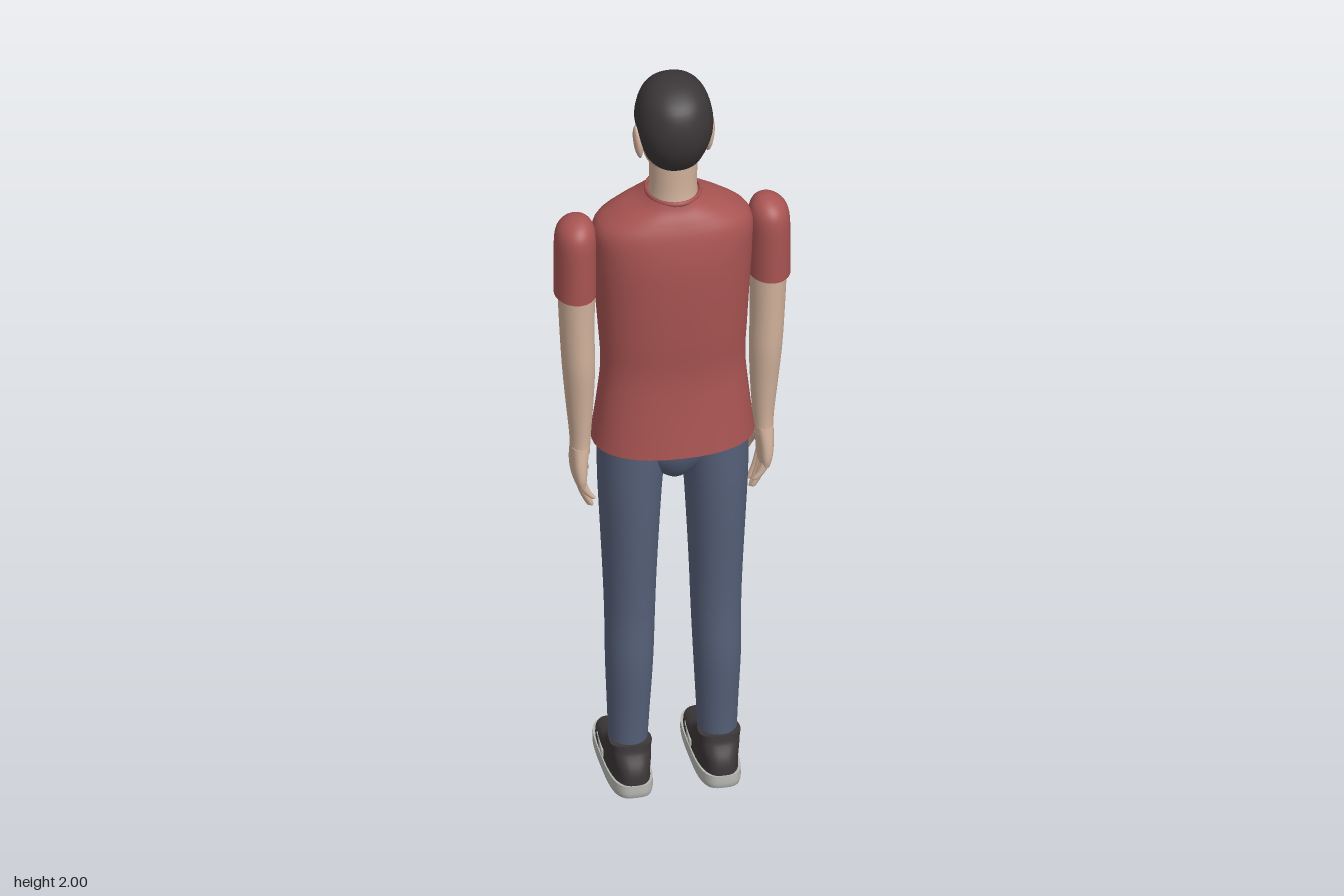
import * as THREE from 'three';

const mat = (name, color, side = THREE.FrontSide) => {
  const m = new THREE.MeshStandardMaterial({ color, side });
  m.name = name;
  return m;
};

// Smoothly subdivide section rows [y, centreX, halfWidth, zFront, zBack]
function smooth(rows, steps) {
  const out = [];
  const at = (i) => rows[Math.min(Math.max(i, 0), rows.length - 1)];
  for (let i = 0; i < rows.length - 1; i++) {
    for (let s = 0; s < steps; s++) {
      const t = s / steps;
      out.push(rows[i].map((p, k) => {
        const q = at(i + 1)[k], m0 = (q - at(i - 1)[k]) / 2, m1 = (at(i + 2)[k] - p) / 2;
        const t2 = t * t, t3 = t2 * t;
        return (2 * t3 - 3 * t2 + 1) * p + (t3 - 2 * t2 + t) * m0 + (3 * t2 - 2 * t3) * q + (t3 - t2) * m1;
      }));
    }
  }
  out.push(rows[rows.length - 1]);
  return out;
}

// One superellipse ring point, optionally pushed outwards
function ringPoint([y, cx, hw, zf, zb], angle, n = 2, grow = 0) {
  const c = Math.cos(angle), s = Math.sin(angle), pow = (v) => Math.sign(v) * Math.abs(v) ** (2 / n);
  return [cx + (hw + grow) * pow(c), y, (zf + zb) / 2 + ((zb - zf) / 2 + grow) * pow(s)];
}

// Surface through closed rings listed from bottom to top, with flat end caps
function skinRings(rings, caps = true) {
  const pos = [], idx = [], n = rings[0].length;
  rings.forEach((r) => r.forEach((p) => pos.push(...p)));
  for (let i = 0; i < rings.length - 1; i++) {
    for (let j = 0; j < n; j++) {
      const a = i * n + j, b = i * n + (j + 1) % n;
      idx.push(a, a + n, b, b, a + n, b + n);
    }
  }
  if (caps) {
    [rings[0], rings[rings.length - 1]].forEach((r, top) => {
      const base = pos.length / 3;
      r.forEach((p) => pos.push(...p));
      pos.push(...[0, 1, 2].map((k) => r.reduce((sum, p) => sum + p[k], 0) / n));
      for (let j = 0; j < n; j++) {
        const a = base + j, b = base + (j + 1) % n;
        idx.push(...(top ? [a, base + n, b] : [a, b, base + n]));
      }
    });
  }
  const g = new THREE.BufferGeometry();
  g.setAttribute('position', new THREE.Float32BufferAttribute(pos, 3));
  g.setIndex(idx);
  g.computeVertexNormals();
  return g;
}

const angles = (n) => Array.from({ length: n }, (_, j) => j / n * Math.PI * 2);

function loft(rows, { n = 2, seg = 32, steps = 4 } = {}) {
  return skinRings(smooth(rows, steps).map((r) => angles(seg).map((a) => ringPoint(r, a, n))));
}

const HEAD = smooth([
  [1.722, 0, 0.022, -0.045, 0.0], [1.735, 0, 0.042, -0.053, 0.04], [1.765, 0, 0.062, -0.056, 0.105],
  [1.80, 0, 0.074, -0.051, 0.135], [1.85, 0, 0.084, -0.043, 0.155], [1.90, 0, 0.086, -0.040, 0.158],
  [1.95, 0, 0.073, -0.026, 0.14], [1.98, 0, 0.048, 0.0, 0.10], [1.993, 0, 0.015, 0.03, 0.06],
], 5);
const HEAD_N = 2.2;

// Head section at any height
function headRow(y) {
  let i = 0;
  while (i < HEAD.length - 2 && HEAD[i + 1][0] < y) i++;
  const a = HEAD[i], b = HEAD[i + 1], t = THREE.MathUtils.clamp((y - a[0]) / (b[0] - a[0]), 0, 1);
  return a.map((v, k) => v + (b[k] - v) * t);
}

// Hairline height: high over the forehead, sideburn, low at the nape
function hairline(s) {
  const pts = [[-1, 1.94], [-0.85, 1.925], [-0.65, 1.9], [-0.42, 1.845], [-0.22, 1.845], [0.05, 1.85], [0.4, 1.8], [1, 1.772]];
  let i = 0;
  while (i < pts.length - 2 && pts[i + 1][0] < s) i++;
  const [a, b] = [pts[i], pts[i + 1]];
  return a[1] + (b[1] - a[1]) * (s - a[0]) / (b[0] - a[0]);
}

function hairGeometry() {
  const rings = [];
  for (let i = 0; i <= 20; i++) {
    const v = i / 20;
    rings.push(angles(64).map((a) => {
      if (i === 20) return [0, 2, 0.045];
      const h = hairline(Math.sin(a)), y = h + (1.992 - h) * Math.sin(v * Math.PI / 2);
      const p = ringPoint(headRow(y), a, HEAD_N, 0.003 + 0.005 * Math.min(1, v * 5));
      p[1] += 0.006 * v;
      return p;
    }));
  }
  return skinRings(rings, false);
}

// Thin oval that follows the curve of the face
function facePatch(x, y, w, h, lift, tilt = 0) {
  const g = new THREE.CircleGeometry(1, 16).scale(w, h, 1).rotateZ(tilt).rotateY(Math.PI).translate(x, y, 0);
  const p = g.attributes.position;
  for (let i = 0; i < p.count; i++) {
    const [, , hw, zf, zb] = headRow(p.getY(i));
    const k = (1 - Math.min(1, Math.abs(p.getX(i) / hw)) ** HEAD_N) ** (1 / HEAD_N);
    p.setZ(i, (zf + zb) / 2 - (zb - zf) / 2 * k - lift);
  }
  g.computeVertexNormals();
  return g;
}

export function createModel() {
  const model = new THREE.Group();
  model.name = 'standingMan';
  const skin = mat('skin', 0xd2b29c), shirt = mat('shirtRed', 0xa85452), denim = mat('trouserBlue', 0x566079);
  const hair = mat('hairBlack', 0x3a3536, THREE.DoubleSide), shoe = mat('shoeDark', 0x3d3738), sole = mat('soleGrey', 0xb5b5b1);
  const white = mat('eyeWhite', 0xe4e0da), dark = mat('eyeDark', 0x2a2220), lip = mat('lips', 0xb48a7a);
  const add = (name, geometry, material) => {
    const m = new THREE.Mesh(geometry, material);
    m.name = name;
    model.add(m);
    return m;
  };

  // Head, neck and face
  add('head', skinRings(HEAD.map((r) => angles(40).map((a) => ringPoint(r, a, HEAD_N)))), skin);
  add('neck', loft([[1.64, 0, 0.064, -0.02, 0.125], [1.7, 0, 0.058, -0.01, 0.115], [1.8, 0, 0.06, -0.005, 0.118]]), skin);
  add('hair', hairGeometry(), hair);
  add('nose', loft([[1.806, 0, 0.012, -0.058, -0.02], [1.813, 0, 0.018, -0.076, -0.02], [1.822, 0, 0.016, -0.084, -0.02],
    [1.845, 0, 0.009, -0.066, -0.02], [1.878, 0, 0.008, -0.045, -0.02]], { seg: 16 }), skin);
  add('upperLip', new THREE.SphereGeometry(1, 20, 10).scale(0.024, 0.006, 0.011).translate(0, 1.784, -0.05), lip);
  add('lowerLip', new THREE.SphereGeometry(1, 20, 10).scale(0.02, 0.006, 0.01).translate(0, 1.774, -0.05), lip);
  add('chin', new THREE.SphereGeometry(1, 20, 12).scale(0.024, 0.016, 0.016).translate(0, 1.742, -0.043), skin);

  // Shirt
  add('shirtBody', loft([
    [0.985, 0, 0.2, -0.093, 0.18], [1.1, 0, 0.186, -0.072, 0.168], [1.2, 0, 0.177, -0.064, 0.162],
    [1.3, 0, 0.182, -0.08, 0.17], [1.42, 0, 0.19, -0.1, 0.176], [1.52, 0, 0.196, -0.1, 0.176],
    [1.595, 0, 0.193, -0.075, 0.165], [1.635, 0, 0.145, -0.055, 0.15], [1.662, 0, 0.09, -0.04, 0.135], [1.68, 0, 0.066, -0.028, 0.128],
  ], { n: 2.3, seg: 48 }), shirt);
  add('collar', new THREE.TorusGeometry(1, 0.06, 8, 40).rotateX(Math.PI / 2).scale(0.066, 0.12, 0.077).translate(0, 1.681, 0.05), shirt);

  // Hips
  add('hips', loft([[0.875, 0, 0.025, 0.0, 0.085], [0.9, 0, 0.06, -0.03, 0.115], [0.95, 0, 0.12, -0.052, 0.14],
    [1.01, 0, 0.17, -0.06, 0.15]]), denim);

  for (const [side, s] of [['left', 1], ['right', -1]]) {
    const limb = (name, rows, material, options) =>
      add(side + name, loft(rows.map(([y, x, ...rest]) => [y, x * s, ...rest]), options), material);

    // Face details
    add(side + 'Ear', new THREE.SphereGeometry(1, 16, 12).scale(0.011, 0.046, 0.021).rotateZ(-s * 0.12).translate(s * 0.089, 1.832, 0.06), skin);
    add(side + 'EyeWhite', facePatch(s * 0.034, 1.862, 0.014, 0.006, 0.002), white);
    add(side + 'Iris', facePatch(s * 0.034, 1.862, 0.006, 0.006, 0.0035), dark);
    add(side + 'Eyelid', facePatch(s * 0.034, 1.868, 0.016, 0.0022, 0.004), dark);
    add(side + 'Eyebrow', facePatch(s * 0.036, 1.884, 0.02, 0.0042, 0.003, s * 0.08), hair);

    // Sleeve and arm
    limb('Sleeve', [[1.41, 0.241, 0.051, -0.026, 0.108], [1.5, 0.241, 0.051, -0.028, 0.108], [1.57, 0.24, 0.05, -0.026, 0.106],
      [1.602, 0.238, 0.041, -0.012, 0.092], [1.62, 0.234, 0.022, 0.012, 0.066], [1.625, 0.232, 0.004, 0.034, 0.044]], shirt);
    limb('Arm', [[0.95, 0.228, 0.024, 0.002, 0.07], [1.0, 0.227, 0.026, 0.0, 0.07], [1.1, 0.229, 0.034, -0.006, 0.08],
      [1.2, 0.232, 0.04, -0.011, 0.092], [1.3, 0.236, 0.042, -0.012, 0.095], [1.43, 0.238, 0.046, -0.016, 0.1]], skin);
    limb('Palm', [[0.862, 0.228, 0.012, -0.008, 0.075], [0.885, 0.23, 0.017, -0.014, 0.08], [0.92, 0.231, 0.02, -0.014, 0.078],
      [0.97, 0.228, 0.023, 0.003, 0.07]], skin, { n: 2.5 });
    [[0.067, 0.825], [0.046, 0.795], [0.023, 0.782], [0.001, 0.79]].forEach(([z, tip], i) => {
      const seg = (y, x, r) => [y, x, r, z - 0.004 - r, z - 0.004 + r];
      const mid = (tip + 0.875) / 2;
      limb('Finger' + (i + 1), [seg(tip, 0.2, 0.002), seg(tip + 0.005, 0.202, 0.007), seg(mid, 0.218, 0.01), seg(0.88, 0.23, 0.011)],
        skin, { seg: 12 });
    });
    limb('Thumb', [[0.845, 0.195, 0.002, -0.046, -0.042], [0.851, 0.197, 0.009, -0.051, -0.034], [0.885, 0.208, 0.011, -0.04, -0.016],
      [0.93, 0.222, 0.013, -0.016, 0.02]], skin, { seg: 14 });

    // Trouser leg
    limb('TrouserLeg', [[0.085, 0.111, 0.046, -0.008, 0.098], [0.2, 0.11, 0.051, -0.012, 0.106], [0.35, 0.109, 0.058, -0.018, 0.121],
      [0.48, 0.107, 0.061, -0.026, 0.121], [0.6, 0.107, 0.065, -0.034, 0.128], [0.75, 0.107, 0.072, -0.046, 0.14],
      [0.88, 0.106, 0.079, -0.053, 0.147], [1.01, 0.1, 0.086, -0.057, 0.15]], denim);

    // Shoe
    limb('ShoeSole', [[0, 0.109, 0.054, -0.178, 0.137], [0.012, 0.109, 0.056, -0.183, 0.14], [0.034, 0.109, 0.055, -0.182, 0.139]],
      sole, { n: 3.4, seg: 48 });
    limb('ShoeUpper', [[0.03, 0.109, 0.052, -0.176, 0.136], [0.048, 0.109, 0.051, -0.17, 0.136], [0.062, 0.109, 0.05, -0.125, 0.134],
      [0.078, 0.109, 0.05, -0.065, 0.128], [0.1, 0.11, 0.051, -0.02, 0.116], [0.112, 0.11, 0.051, 0.0, 0.111], [0.13, 0.11, 0.052, 0.03, 0.108]],
      shoe, { n: 2.9, seg: 48 });
    for (const edge of [-1, 1]) {
      add(side + 'ShoePanel', new THREE.BoxGeometry(0.006, 0.018, 0.09).rotateY(edge * 0.08)
        .translate(s * 0.109 + edge * 0.049, 0.046, -0.05), sole);
    }
  }
  return model;
}
